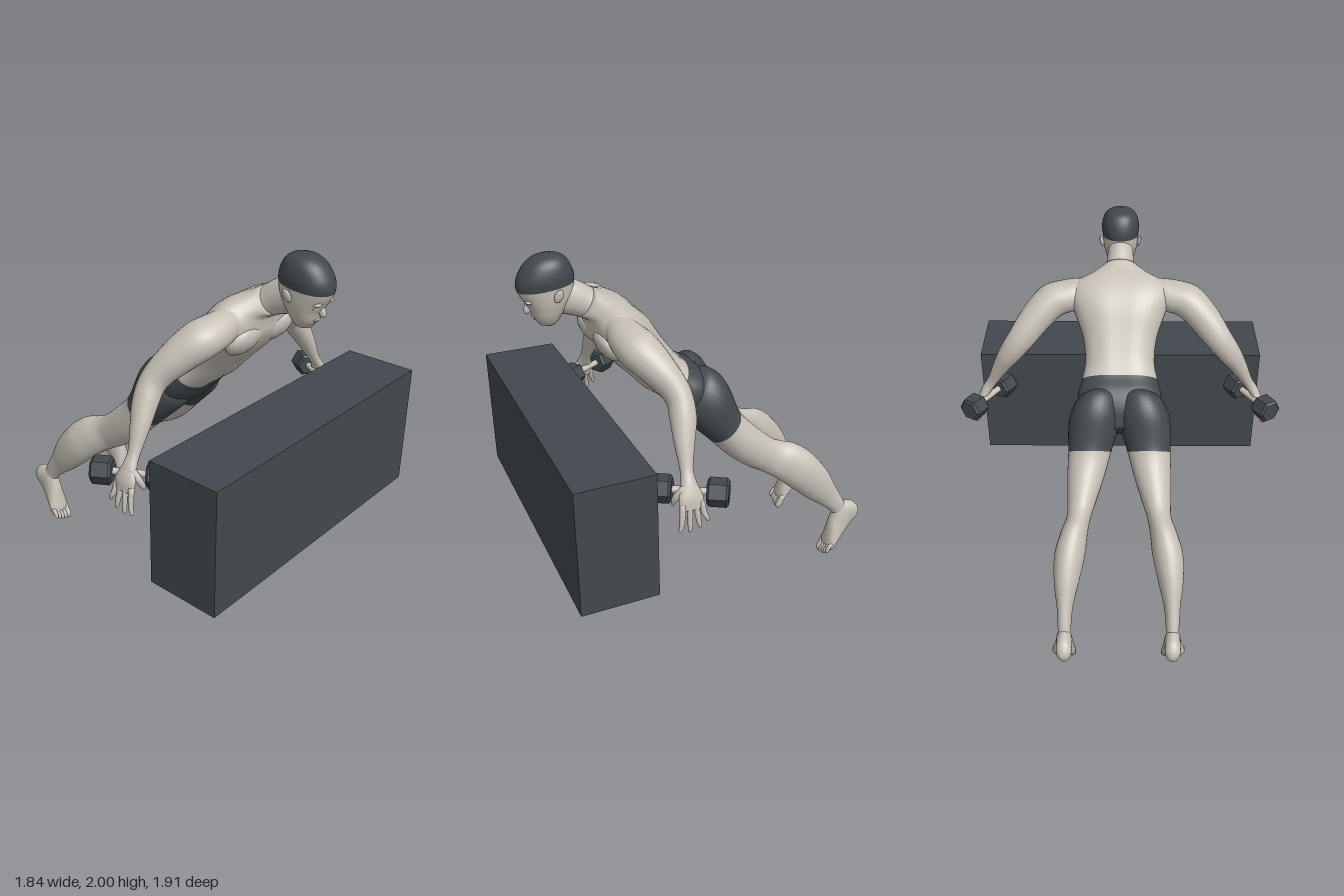
import * as THREE from 'three';

const V = (x, y, z) => new THREE.Vector3(x, y, z);
const mat = (name, color) => Object.assign(new THREE.MeshStandardMaterial({ color }), { name });

// Ring from a back point and a front point (z, y) plus a half width in x
const sec = (x, hw, bz, by, fz, fy) => ({
  c: V(x, (by + fy) / 2, (bz + fz) / 2),
  u: V(hw, 0, 0),
  v: V(0, (by - fy) / 2, (bz - fz) / 2),
});

// Rings along a path of [x, y, z, radius, secondRadius]
function limb(points, s) {
  const cs = points.map((p) => V(p[0] * s, p[1], p[2]));
  return points.map((p, i) => {
    const t = cs[Math.min(i + 1, cs.length - 1)].clone().sub(cs[Math.max(i - 1, 0)]).normalize();
    const u = V(0, 0, 1).addScaledVector(t, -t.z).normalize();
    const v = t.clone().cross(u);
    return { c: cs[i], u: u.multiplyScalar(p[3]), v: v.multiplyScalar(p[4] ?? p[3]) };
  });
}

// Smooth closed skin through rings; bands = [[last ring index, material], ...]
function loft(name, rings, bands, { sides = 28, steps = 5, power = 1, groove = 0 } = {}) {
  const curve = (k) => new THREE.CatmullRomCurve3(rings.map((r) => r[k]), false, 'catmullrom', 0.5);
  const [C, U, W] = ['c', 'u', 'v'].map(curve);
  const n = (rings.length - 1) * steps;
  const pos = [], idx = [];
  for (let i = 0; i <= n; i++) {
    const c = C.getPoint(i / n), u = U.getPoint(i / n), v = W.getPoint(i / n);
    for (let j = 0; j < sides; j++) {
      const a = (j / sides) * Math.PI * 2, co = Math.cos(a), si = Math.sin(a);
      const dent = 1 - groove * Math.exp(-((co / 0.2) ** 2)) * Math.sin((Math.PI * i) / n);
      const p = c.clone()
        .addScaledVector(u, Math.sign(co) * Math.abs(co) ** power)
        .addScaledVector(v, Math.sign(si) * Math.abs(si) ** power * dent);
      pos.push(p.x, p.y, p.z);
    }
  }
  const m = rings.length >> 1;
  const flip = rings[m].u.clone().cross(rings[m].v).dot(rings[m + 1 < rings.length ? m + 1 : m].c.clone().sub(rings[m - 1].c)) < 0;
  const tri = (a, b, c) => (flip ? idx.push(a, c, b) : idx.push(a, b, c));
  const first = pos.length / 3;
  pos.push(...C.getPoint(0).toArray(), ...C.getPoint(1).toArray());
  const geo = new THREE.BufferGeometry();
  let start = 0, ring = 0;
  bands.forEach(([end, material], b) => {
    for (; ring < end * steps; ring++) {
      for (let j = 0; j < sides; j++) {
        const k = (j + 1) % sides, a = ring * sides, d = a + sides;
        if (ring === 0) tri(first, a + k, a + j);
        tri(a + j, a + k, d + k);
        tri(a + j, d + k, d + j);
        if (ring === n - 1) tri(first + 1, d + j, d + k);
      }
    }
    geo.addGroup(start, idx.length - start, b);
    start = idx.length;
  });
  geo.setAttribute('position', new THREE.Float32BufferAttribute(pos, 3));
  geo.setIndex(idx);
  geo.computeVertexNormals();
  const mesh = new THREE.Mesh(geo, bands.map((b) => b[1]));
  mesh.name = name;
  return mesh;
}

export function createModel() {
  const skin = mat('skin', 0xc6c0b6);
  const dark = mat('charcoal', 0x41484d);
  const model = new THREE.Group();
  model.name = 'athleteOverBlock';
  const add = (name, geo, material, x = 0, y = 0, z = 0, parent = model) => {
    const mesh = new THREE.Mesh(geo, material);
    mesh.name = name;
    mesh.position.set(x, y, z);
    parent.add(mesh);
    return mesh;
  };
  const blob = (name, x, y, z, sx, sy, sz, tilt = 0) => {
    const mesh = add(name, new THREE.SphereGeometry(1, 16, 12), skin, x, y, z);
    mesh.scale.set(sx, sy, sz);
    mesh.rotation.x = tilt;
    return mesh;
  };

  // Block
  add('block', new THREE.BoxGeometry(1.66, 0.68, 0.4), dark, 0, 0.83, 0.76);

  // Torso with the upper part of the shorts
  model.add(loft('torso', [
    sec(0, 0.12, -0.09, 1.1, 0.03, 0.98),
    sec(0, 0.21, -0.06, 1.21, 0.12, 1.03),
    sec(0, 0.23, 0.0, 1.29, 0.18, 1.09),
    sec(0, 0.21, 0.085, 1.34, 0.24, 1.16),
    sec(0, 0.192, 0.15, 1.41, 0.33, 1.23),
    sec(0, 0.205, 0.22, 1.51, 0.43, 1.34),
    sec(0, 0.25, 0.29, 1.62, 0.525, 1.44),
    sec(0, 0.285, 0.36, 1.69, 0.58, 1.53),
    sec(0, 0.26, 0.43, 1.735, 0.59, 1.6),
    sec(0, 0.16, 0.5, 1.765, 0.6, 1.64),
    sec(0, 0.085, 0.555, 1.795, 0.64, 1.66),
  ], [[3, dark], [10, skin]], { sides: 40, power: 0.85, groove: 0.07 }));

  // Neck
  model.add(loft('neck', [
    sec(0, 0.1, 0.5, 1.76, 0.59, 1.63),
    sec(0, 0.08, 0.56, 1.795, 0.65, 1.66),
    sec(0, 0.074, 0.61, 1.83, 0.71, 1.68),
    sec(0, 0.07, 0.67, 1.86, 0.78, 1.7),
  ], [[3, skin]]));

  // Head and close-fitting cap of hair
  model.add(loft('head', [
    sec(0, 0.012, 0.772, 1.632, 0.792, 1.63),
    sec(0, 0.045, 0.745, 1.655, 0.83, 1.645),
    sec(0, 0.07, 0.715, 1.70, 0.862, 1.68),
    sec(0, 0.086, 0.685, 1.75, 0.88, 1.725),
    sec(0, 0.095, 0.662, 1.795, 0.905, 1.77),
    sec(0, 0.1, 0.65, 1.855, 0.934, 1.825),
    sec(0, 0.105, 0.652, 1.9, 0.932, 1.88),
    sec(0, 0.092, 0.672, 1.952, 0.893, 1.945),
    sec(0, 0.062, 0.705, 1.985, 0.845, 1.982),
    sec(0, 0.012, 0.765, 2.0, 0.785, 2.0),
  ], [[5, skin], [9, dark]], { sides: 32, power: 0.92 }));
  blob('nose', 0, 1.737, 0.886, 0.017, 0.034, 0.02, -0.45);
  blob('upperLip', 0, 1.69, 0.862, 0.028, 0.008, 0.011);
  blob('lowerLip', 0, 1.677, 0.851, 0.024, 0.008, 0.012);
  blob('chin', 0, 1.653, 0.82, 0.03, 0.017, 0.02);

  for (const s of [1, -1]) {
    const side = s > 0 ? 'left' : 'right';
    blob(side + 'Brow', s * 0.042, 1.781, 0.893, 0.034, 0.009, 0.016);
    blob(side + 'Eyelid', s * 0.04, 1.759, 0.872, 0.02, 0.012, 0.016);
    const ear = blob(side + 'Ear', s * 0.106, 1.81, 0.757, 0.011, 0.036, 0.022, -0.4);
    ear.rotation.z = -s * 0.2;

    // Chest and shoulder blade volume
    blob(side + 'Pectoral', s * 0.13, 1.53, 0.535, 0.12, 0.085, 0.05, 0.55);

    // Arm down to the palm
    model.add(loft(side + 'Arm', limb([
      [0.16, 1.63, 0.49, 0.07, 0.08],
      [0.28, 1.61, 0.48, 0.098, 0.09],
      [0.38, 1.585, 0.46, 0.105, 0.095],
      [0.47, 1.51, 0.4, 0.088, 0.088],
      [0.555, 1.41, 0.34, 0.068, 0.075],
      [0.62, 1.32, 0.34, 0.066, 0.064],
      [0.68, 1.22, 0.36, 0.052, 0.048],
      [0.74, 1.11, 0.377, 0.033, 0.03],
      [0.778, 1.05, 0.382, 0.04, 0.028],
      [0.81, 0.99, 0.385, 0.062, 0.024],
      [0.823, 0.942, 0.382, 0.057, 0.018],
      [0.827, 0.93, 0.382, 0.04, 0.01],
    ], s), [[11, skin]]));

    // Fingers spread downward, and the thumb
    [[0.432, 0.455, 0.832], [0.399, 0.405, 0.822], [0.366, 0.353, 0.835], [0.335, 0.312, 0.862]].forEach(([z0, z1, y], i) => {
      model.add(loft(`${side}Finger${i + 1}`, limb([
        [0.82, 0.965, z0, 0.016], [0.835, 0.905, (z0 * 2 + z1) / 3, 0.0145],
        [0.843, y + 0.025, (z0 + z1 * 3) / 4, 0.012], [0.843, y + 0.005, z1, 0.009], [0.843, y, z1, 0.003],
      ], s), [[4, skin]], { sides: 10, steps: 2 }));
    });
    model.add(loft(side + 'Thumb', limb([
      [0.79, 1.04, 0.405, 0.02], [0.782, 1.0, 0.44, 0.019], [0.768, 0.965, 0.455, 0.015], [0.762, 0.942, 0.46, 0.006],
    ], s), [[3, skin]], { sides: 10, steps: 2 }));

    // Leg: shorts above, bare below
    const legX = (x, ...rest) => sec(s * x, ...rest);
    model.add(loft(side + 'Leg', [
      legX(0.1, 0.09, 0.03, 1.29, 0.15, 1.1),
      legX(0.118, 0.125, -0.035, 1.295, 0.14, 1.045),
      legX(0.138, 0.14, -0.115, 1.215, 0.08, 0.98),
      legX(0.163, 0.118, -0.19, 1.03, -0.02, 0.88),
      legX(0.185, 0.1, -0.285, 0.92, -0.12, 0.775),
      legX(0.205, 0.077, -0.385, 0.83, -0.23, 0.69),
      legX(0.218, 0.066, -0.45, 0.8, -0.31, 0.645),
      legX(0.24, 0.073, -0.53, 0.775, -0.395, 0.59),
      legX(0.262, 0.082, -0.62, 0.705, -0.49, 0.51),
      legX(0.278, 0.066, -0.715, 0.585, -0.595, 0.42),
      legX(0.285, 0.044, -0.78, 0.46, -0.685, 0.355),
      legX(0.287, 0.036, -0.835, 0.36, -0.755, 0.295),
      legX(0.287, 0.034, -0.87, 0.29, -0.79, 0.24),
    ], [[3, dark], [12, skin]]));

    // Foot standing on its toes
    model.add(loft(side + 'Foot', [
      legX(0.286, 0.018, -0.945, 0.285, -0.953, 0.25),
      legX(0.286, 0.04, -0.9, 0.325, -0.94, 0.21),
      legX(0.288, 0.043, -0.8, 0.33, -0.9, 0.165),
      legX(0.292, 0.05, -0.757, 0.235, -0.855, 0.12),
      legX(0.297, 0.06, -0.74, 0.155, -0.805, 0.08),
      legX(0.3, 0.064, -0.728, 0.095, -0.77, 0.045),
      legX(0.3, 0.055, -0.725, 0.07, -0.752, 0.04),
    ], [[6, skin]]));
    for (let i = 0; i < 5; i++) {
      const x = 0.255 + i * 0.024, r = i ? 0.0125 : 0.019, y = 0.01 + i * i * 0.0022;
      model.add(loft(`${side}Toe${i + 1}`, limb([
        [x, 0.085, -0.752, r], [x, y + 0.035, -0.733, r], [x, y + 0.008, -0.718, r * 0.95], [x, y - 0.008, -0.711, r * 0.3],
      ], s), [[3, skin]], { sides: 10, steps: 2 }));
    }

    // Hexagonal dumbbell
    const bell = new THREE.Group();
    bell.name = side + 'Dumbbell';
    bell.position.set(s * 0.7675, 1.003, 0.3725);
    bell.rotation.y = Math.atan2(-s * 0.145, 0.235);
    model.add(bell);
    const prism = (r0, r1, len, sides) => {
      const g = new THREE.CylinderGeometry(r0, r1, len, sides).rotateY(Math.PI / 6).rotateX(Math.PI / 2);
      if (sides > 6) return g;
      const flat = g.toNonIndexed();
      flat.computeVertexNormals();
      return flat;
    };
    add('handle', prism(0.018, 0.018, 0.22, 20), skin, 0, 0, 0, bell);
    for (const e of [1, -1]) {
      add('weight', prism(0.071, 0.071, 0.082, 6), dark, 0, 0, e * 0.137, bell);
      for (const f of [1, -1]) {
        add('weightBevel', prism(f > 0 ? 0.058 : 0.071, f > 0 ? 0.071 : 0.058, 0.012, 6), dark, 0, 0, e * 0.137 + f * 0.047, bell);
      }
    }
  }
  return model;
}
